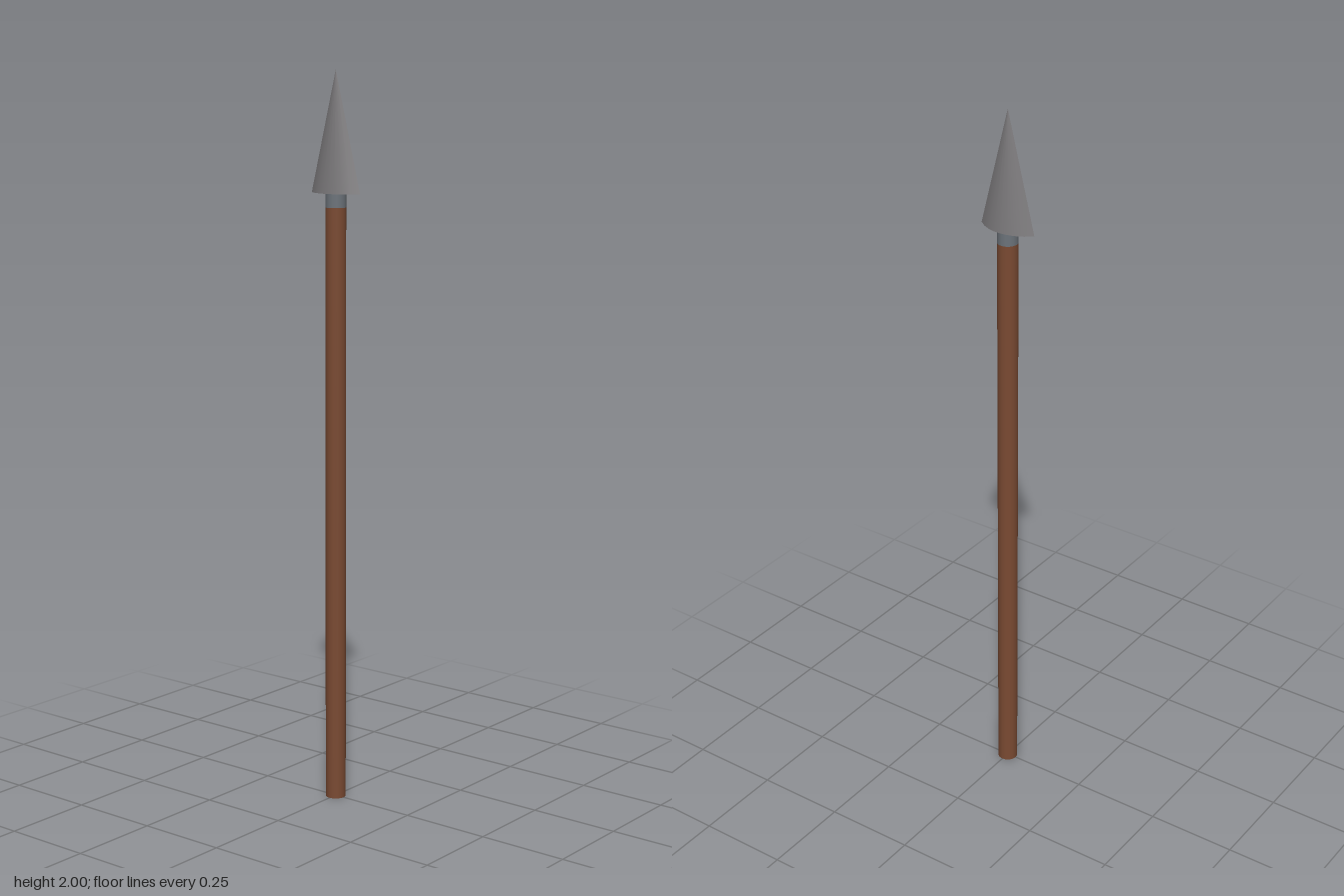
import * as THREE from 'three';
import { toCreasedNormals } from 'three/addons/utils/BufferGeometryUtils.js';

const SHAFT_TOP = 1.64, HEAD_BASE = 1.677, TIP = 2, SHAFT_RADIUS = 0.028;
const HALF_THICK = 0.034, HALF_WIDTH = 0.082;

function addPart(group, name, geometry, color, y) {
  const mesh = new THREE.Mesh(geometry, new THREE.MeshStandardMaterial({ color }));
  mesh.name = name;
  mesh.position.y = y;
  group.add(mesh);
}

// Cone whose round base is reshaped into a lens: two arcs meeting in sharp edges at +z and -z
function bladeGeometry(height) {
  const geometry = new THREE.ConeGeometry(1, height, 16);
  const pos = geometry.attributes.position;
  const arcRadius = (HALF_WIDTH ** 2 + HALF_THICK ** 2) / (2 * HALF_THICK);
  for (let i = 0; i < pos.count; i++) {
    const x = pos.getX(i), z = pos.getZ(i);
    if (Math.hypot(x, z) < 0.5) continue; // tip and base centre stay on the axis
    const angle = Math.atan2(Math.abs(x), z);
    const lensZ = HALF_WIDTH * (1 - 2 * angle / Math.PI);
    const lensX = Math.sqrt(arcRadius ** 2 - lensZ ** 2) - (arcRadius - HALF_THICK);
    pos.setX(i, Math.sign(x) * lensX);
    pos.setZ(i, lensZ);
  }
  return toCreasedNormals(geometry, 0.5);
}

export function createModel() {
  const spear = new THREE.Group();
  spear.name = 'spear';

  // Wooden pole
  addPart(spear, 'shaft',
    new THREE.CylinderGeometry(SHAFT_RADIUS, SHAFT_RADIUS, SHAFT_TOP, 16), 0x7a4a32, SHAFT_TOP / 2);

  // Metal collar joining the pole to the blade
  const collarHeight = HEAD_BASE - SHAFT_TOP;
  addPart(spear, 'collar',
    new THREE.CylinderGeometry(SHAFT_RADIUS, SHAFT_RADIUS, collarHeight, 16), 0x6c737a, SHAFT_TOP + collarHeight / 2);

  // Lens-section blade
  addPart(spear, 'blade', bladeGeometry(TIP - HEAD_BASE), 0x7c7a7c, (HEAD_BASE + TIP) / 2);

  return spear;
}
